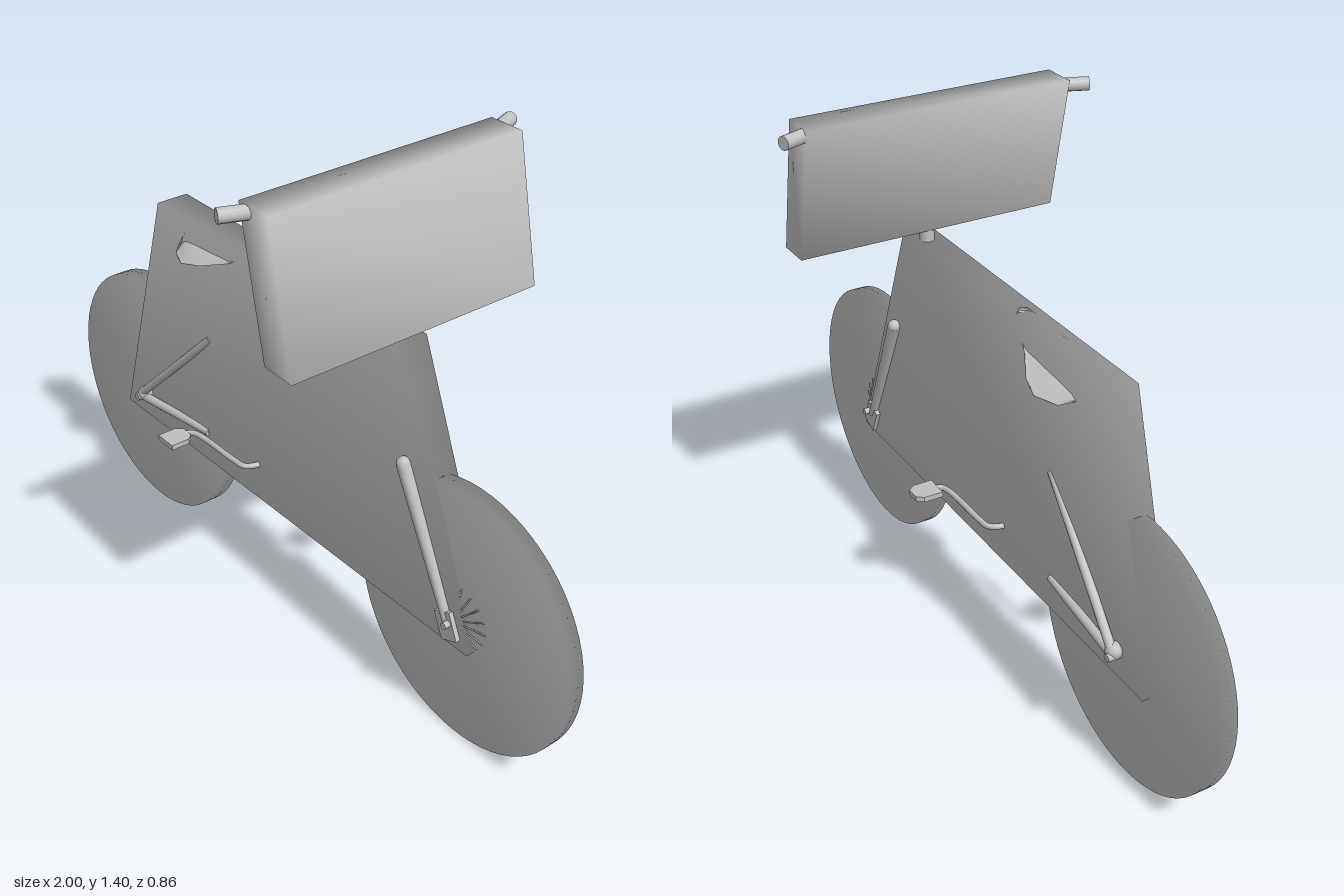
import * as THREE from 'three';

const MID = 0.01; // the bicycle's centre plane in z
const grey = new THREE.MeshStandardMaterial({ color: 0xc0c0c0 });
grey.name = 'plain grey';

const V = (x, y, z) => new THREE.Vector3(x, y, z);

export function createModel() {
  const group = new THREE.Group();

  function add(name, geometry) {
    const mesh = new THREE.Mesh(geometry, grey);
    mesh.name = name;
    group.add(mesh);
    return mesh;
  }

  // Closed skin over equal rings of points, with softly shared normals
  function loft(rings) {
    const n = rings[0].length, pos = [], idx = [];
    rings.forEach(r => r.forEach(p => pos.push(p.x, p.y, p.z)));
    for (let i = 0; i < rings.length - 1; i++) {
      for (let j = 0; j < n; j++) {
        const a = i * n + j, b = i * n + (j + 1) % n;
        idx.push(a, b, b + n, a, b + n, a + n);
      }
    }
    const last = (rings.length - 1) * n;
    for (let j = 1; j < n - 1; j++) {
      idx.push(0, j + 1, j, last, last + j, last + j + 1);
    }
    const g = new THREE.BufferGeometry();
    g.setAttribute('position', new THREE.Float32BufferAttribute(pos, 3));
    g.setIndex(idx);
    g.computeVertexNormals();
    return g;
  }

  // Side outline (counter-clockwise) carried across the width
  const slab = (outline, half) => loft([MID - half, MID + half].map(
    z => outline.map(([x, y]) => V(x, y, z))));

  // Tapered rod between two points
  function rod(name, a, b, r0, r1 = r0, sides = 12) {
    const dir = b.clone().sub(a);
    const mesh = add(name, new THREE.CylinderGeometry(r1, r0, dir.length(), sides));
    mesh.position.copy(a).add(b).multiplyScalar(0.5);
    mesh.quaternion.setFromUnitVectors(V(0, 1, 0), dir.normalize());
    return mesh;
  }

  function ball(name, p, r) {
    add(name, new THREE.SphereGeometry(r, 12, 8)).position.copy(p);
  }

  // Solid disc wheels
  for (const [name, x, h] of [['rearWheel', -0.645, 0.025], ['frontWheel', 0.645, 0.021]]) {
    const profile = [[0, -h], [0.355, -h], [0.355, h], [0, h]].map(p => new THREE.Vector2(...p));
    const wheel = add(name, new THREE.LatheGeometry(profile, 64));
    wheel.rotation.x = Math.PI / 2;
    wheel.position.set(x, 0.355, MID);
  }

  // Frame panel and front panel
  add('framePanel', slab([[-0.745, 0.287], [0.7, 0.287], [0.415, 1], [-0.54, 1]], 0.046));
  add('handlebarPanel', slab([[0.345, 1.032], [0.44, 1.03], [0.362, 1.396], [0.262, 1.396]], 0.363));
  rod('stem', V(0.365, 0.98, MID), V(0.37, 1.06, MID), 0.02);

  // Saddle: x, half width, crown height, edge height, thickness
  const stations = [
    [-0.435, 0.045, 0.975, 0.94, 0.025],
    [-0.41, 0.082, 0.992, 0.935, 0.04],
    [-0.35, 0.108, 0.998, 0.94, 0.045],
    [-0.29, 0.093, 0.998, 0.95, 0.04],
    [-0.22, 0.055, 0.999, 0.968, 0.03],
    [-0.16, 0.032, 1.01, 1.0, 0.022],
    [-0.125, 0.022, 1.016, 1.008, 0.018],
    [-0.112, 0.01, 1.012, 1.006, 0.01],
  ];
  add('saddle', loft(stations.map(([x, w, crown, edge, t]) => {
    const ring = [];
    for (let i = 0; i < 20; i++) {
      const a = i / 20 * Math.PI * 2, c = Math.cos(a), s = Math.sin(a);
      const top = crown - (crown - edge) * c * c;
      ring.push(V(x, top + (s - 1) * t / 2, MID - w * c));
    }
    return ring.reverse();
  })));

  for (const s of [1, -1]) {
    const at = (x, y, z) => V(x, y, MID + s * z);

    // Handle grip
    rod('grip', at(0.3, 1.378, 0.33), at(0.264, 1.378, 0.422), 0.018);

    // Rear stays, dropout and axle
    rod('seatStay', at(-0.635, 0.375, 0.064), at(-0.325, 0.68, 0.038), 0.012);
    rod('chainStay', at(-0.635, 0.358, 0.062), at(-0.34, 0.378, 0.044), 0.013, 0.011);
    ball('rearDropout', at(-0.637, 0.365, 0.056), 0.023);
    rod('rearAxle', at(-0.645, 0.357, 0), at(-0.645, 0.357, 0.082), 0.011);

    // Fork blade, dropout and axle
    rod('forkBlade', at(0.635, 0.35, 0.05), at(0.465, 0.715, 0.056), 0.013, 0.018);
    ball('forkTip', at(0.465, 0.715, 0.056), 0.018);
    const plate = add('forkDropout', new THREE.BoxGeometry(0.055, 0.075, 0.012));
    plate.position.copy(at(0.636, 0.343, 0.053));
    plate.rotation.z = 0.42;
    rod('frontAxle', at(0.645, 0.357, 0), at(0.645, 0.357, 0.075), 0.009);

    // Spoke roots around the front hub
    for (let i = 0; i < 16; i++) {
      const a = (i + (s > 0 ? 0 : 0.5)) / 16 * Math.PI * 2;
      const c = Math.cos(a), n = Math.sin(a);
      rod('spoke', at(0.645 + c * 0.03, 0.357 + n * 0.03, 0.036),
        at(0.645 + c * 0.093, 0.357 + n * 0.093, 0.018), 0.0022, 0.0022, 5);
    }

    // Crank arm and pedal, opposed on the two sides
    const path = new THREE.CatmullRomCurve3([
      at(-0.11, 0.395, 0), at(-0.11 - s * 0.004, 0.395, 0.055),
      at(-0.11 - s * 0.02, 0.395, 0.08), at(-0.11 - s * 0.06, 0.395, 0.085),
      at(-0.11 - s * 0.235, 0.395, 0.095), at(-0.11 - s * 0.244, 0.395, 0.115),
    ]);
    add('crankArm', new THREE.TubeGeometry(path, 32, 0.008, 8));
    const pedal = add('pedal', new THREE.ExtrudeGeometry(new THREE.Shape(
      [[-0.033, -0.036], [0.033, -0.036], [0.033, 0.018], [0.018, 0.036], [-0.018, 0.036], [-0.033, 0.018]]
        .map(p => new THREE.Vector2(...p))), { depth: 0.015, bevelEnabled: false }));
    pedal.rotation.x = s > 0 ? -Math.PI / 2 : Math.PI / 2;
    pedal.rotation.z = s > 0 ? 0 : Math.PI;
    pedal.position.copy(at(-0.11 - s * 0.24, 0.395 - s * 0.0075, 0.146));
  }

  // Chainring edge below the frame panel
  const ring = add('chainring', new THREE.CylinderGeometry(0.114, 0.114, 0.012, 40));
  ring.rotation.x = Math.PI / 2;
  ring.position.set(-0.11, 0.395, MID + 0.035);

  return group;
}
